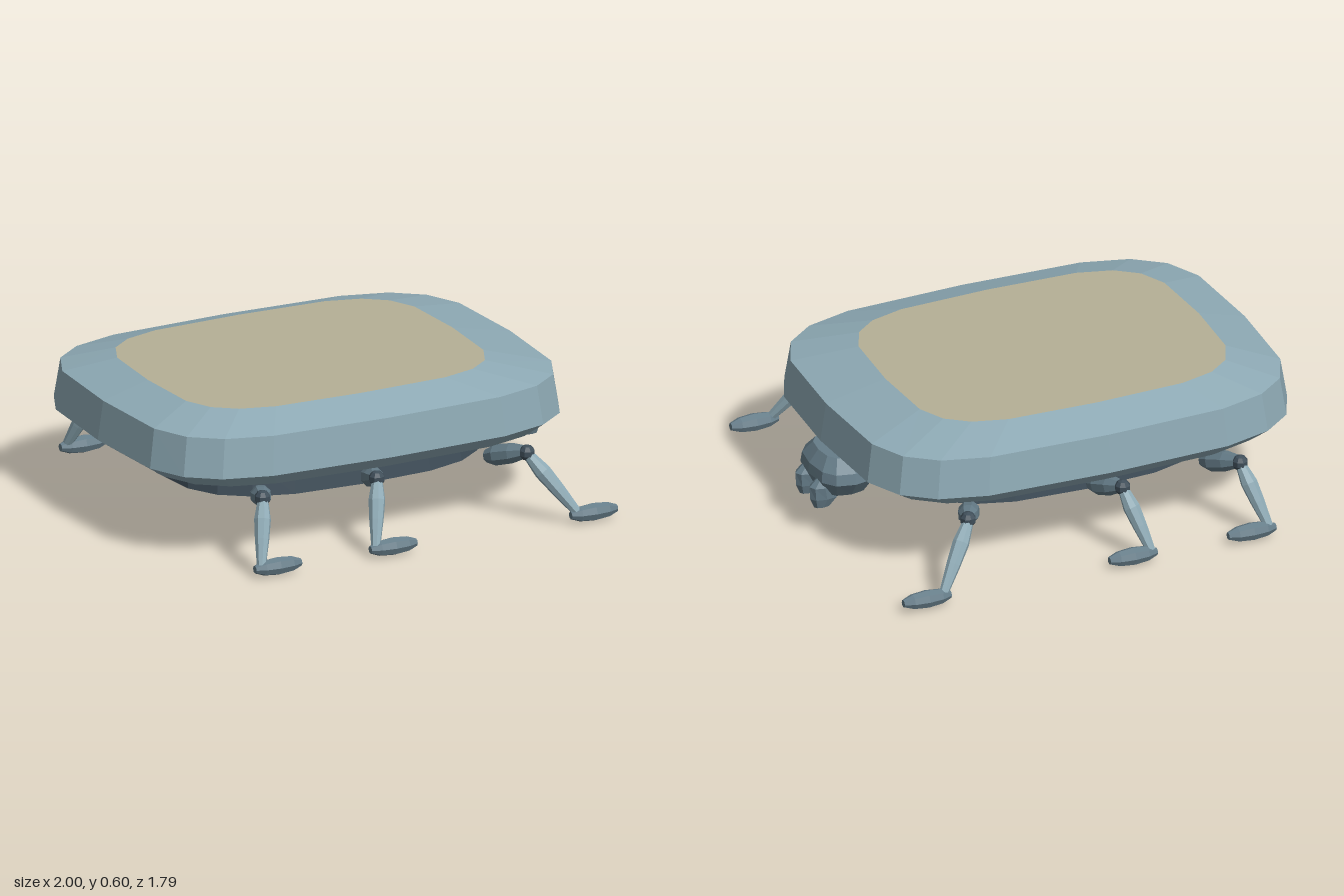
import * as THREE from 'three';

const mat = (name, color) => Object.assign(
  new THREE.MeshStandardMaterial({ color, flatShading: true }), { name });

// Rounded-rectangle rings [y, centreX, halfX, halfZ], listed bottom to top.
function loft(rings, sides, power, capTop = true) {
  const pos = [], index = [];
  const bend = v => Math.sign(v) * Math.pow(Math.abs(v), power);
  rings.forEach(([y, cx, a, b]) => {
    for (let i = 0; i < sides; i++) {
      const t = i / sides * Math.PI * 2;
      pos.push(cx + a * bend(Math.cos(t)), y, b * bend(Math.sin(t)));
    }
  });
  for (let r = 0; r < rings.length - 1; r++) {
    for (let i = 0; i < sides; i++) {
      const j = (i + 1) % sides, p = r * sides, q = p + sides;
      index.push(p + i, q + i, q + j, p + i, q + j, p + j);
    }
  }
  // Closing fans
  const last = (rings.length - 1) * sides;
  for (let i = 1; i < sides - 1; i++) {
    index.push(0, i, i + 1);
    if (capTop) index.push(last, last + i + 1, last + i);
  }
  const g = new THREE.BufferGeometry();
  g.setAttribute('position', new THREE.Float32BufferAttribute(pos, 3));
  g.setIndex(index);
  g.computeVertexNormals();
  return g;
}

// Turned limb running from a to b; profile holds [radius, fraction of length].
function limb(a, b, profile, sides = 8) {
  const from = new THREE.Vector3(...a), dir = new THREE.Vector3(...b).sub(from);
  const len = dir.length();
  const pts = [[0, 0], ...profile, [0, 1]].map(([r, t]) => new THREE.Vector2(r, t * len));
  const g = new THREE.LatheGeometry(pts, sides);
  g.applyQuaternion(new THREE.Quaternion().setFromUnitVectors(
    new THREE.Vector3(0, 1, 0), dir.normalize()));
  return g.translate(from.x, from.y, from.z);
}

export function createModel() {
  const model = new THREE.Group();
  model.name = 'flatBackedBeetle';
  const shellBlue = mat('shellBlue', 0x8eaab5);
  const sand = mat('sand', 0xb5b096);
  const slate = mat('slate', 0x667d89);
  const darkSlate = mat('darkSlate', 0x3f4e59);

  const add = (parent, name, geometry, material) => {
    const m = new THREE.Mesh(geometry, material);
    m.name = name;
    parent.add(m);
    return m;
  };

  // Broad shell with a flat sand-coloured back
  add(model, 'shell', loft([
    [0.32, -0.04, 0.88, 0.69],
    [0.375, -0.04, 0.96, 0.745],
    [0.54, -0.04, 0.935, 0.725],
    [0.597, -0.07, 0.70, 0.545],
  ], 20, 0.5, false), shellBlue);
  add(model, 'backPanel', loft([
    [0.594, -0.07, 0.70, 0.545],
    [0.597, -0.07, 0.70, 0.545],
  ], 20, 0.5), sand);

  // Belly
  add(model, 'belly', loft([
    [0.115, -0.04, 0.40, 0.30],
    [0.19, -0.04, 0.69, 0.51],
    [0.33, -0.04, 0.67, 0.49],
  ], 20, 0.68), darkSlate);

  // Head
  add(model, 'head', loft([
    [0.172, 0.84, 0.10, 0.13],
    [0.24, 0.84, 0.135, 0.18],
    [0.285, 0.84, 0.13, 0.17],
    [0.338, 0.84, 0.09, 0.12],
  ], 12, 0.75), slate);

  for (const side of [1, -1]) {
    const label = side > 0 ? 'Front' : 'Back';

    // Stubby jaw
    add(model, 'jaw' + label, loft([
      [0.115, 0.945, 0.035, 0.02],
      [0.155, 0.935, 0.062, 0.033],
      [0.21, 0.945, 0.055, 0.036],
      [0.245, 0.935, 0.03, 0.02],
    ], 8, 0.9), slate).position.z = side * 0.07;

    // Three jointed legs: [hip x, knee x, ankle x, foot x]
    [
      [-0.54, -0.625, -0.695, -0.62],
      [-0.04, -0.10, -0.17, -0.09],
      [0.50, 0.59, 0.755, 0.83],
    ].forEach(([hip, knee, ankle, foot], i) => {
      const leg = new THREE.Group();
      leg.name = 'leg' + label + (i + 1);
      model.add(leg);
      add(leg, 'thigh', limb([hip, 0.235, side * 0.55], [knee, 0.29, side * 0.72],
        [[0.028, 0], [0.045, 0.25], [0.043, 0.65], [0.026, 1]]), slate);
      add(leg, 'knee', new THREE.SphereGeometry(0.034, 8, 5), darkSlate)
        .position.set(knee, 0.29, side * 0.73);
      add(leg, 'shin', limb([knee, 0.285, side * 0.735], [ankle, 0.045, side * 0.855],
        [[0.022, 0], [0.035, 0.3], [0.03, 0.6], [0.019, 1]]), shellBlue);
      add(leg, 'foot', limb([foot - 0.105, 0.035, side * 0.855],
        [foot + 0.105, 0.035, side * 0.855],
        [[0.016, 0], [0.032, 0.2], [0.038, 0.5], [0.032, 0.8], [0.016, 1]]), slate);
    });
  }
  return model;
}
